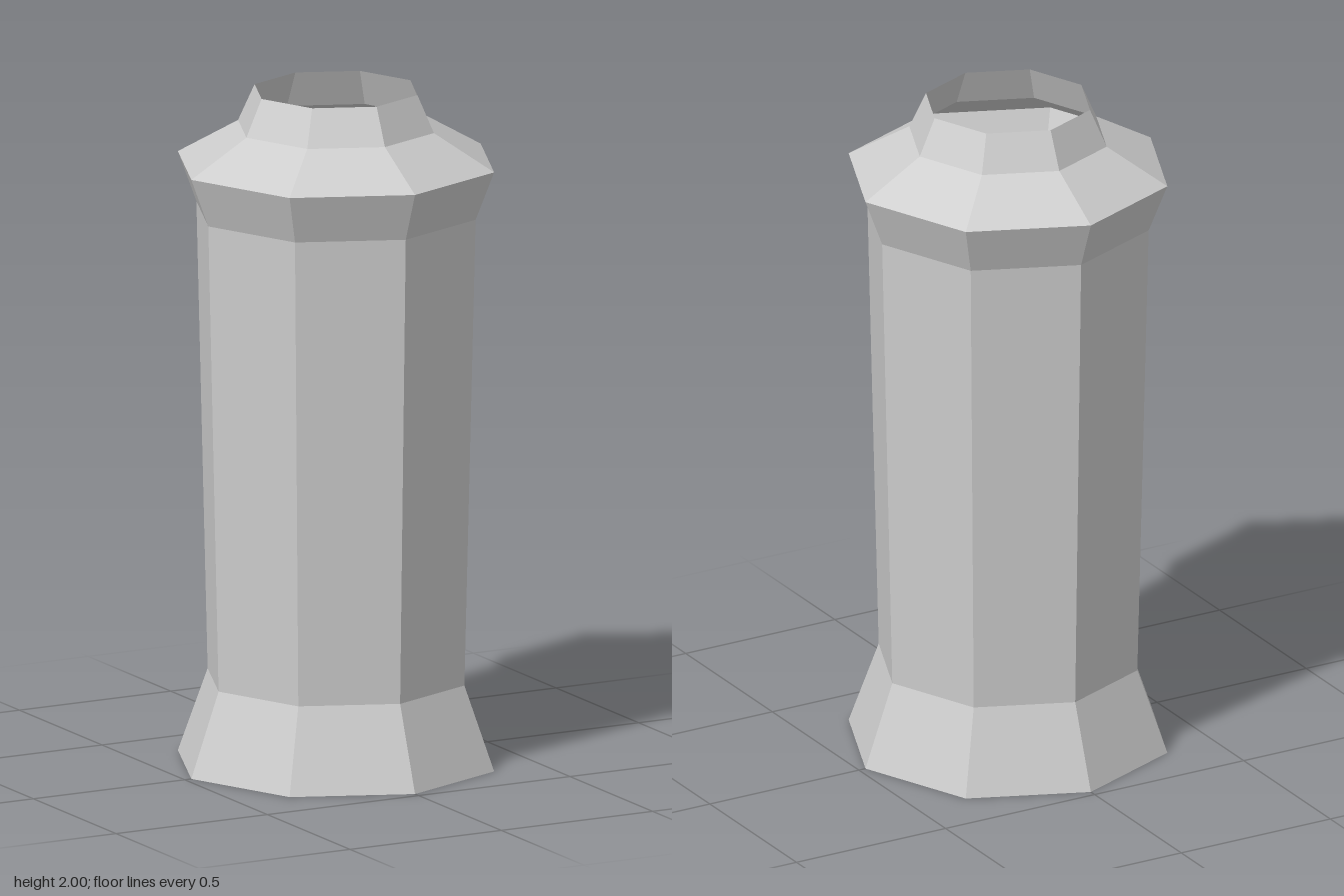
import * as THREE from 'three';

export function createModel() {
  const group = new THREE.Group();
  group.name = 'openColumn';
  // Open thin shell, so both faces show
  const material = new THREE.MeshStandardMaterial({
    color: 0xcccccc, flatShading: true, side: THREE.DoubleSide,
  });

  // Eight-sided ring of wall following [radius, height] points
  const addRing = (name, points) => {
    const profile = points.map(([r, y]) => new THREE.Vector2(r, y));
    const mesh = new THREE.Mesh(new THREE.LatheGeometry(profile, 8), material);
    mesh.name = name;
    group.add(mesh);
  };

  addRing('flaredBase', [[0.478, 0], [0.388, 0.25]]);
  addRing('shaft', [[0.388, 0.25], [0.422, 1.64]]);
  addRing('collar', [[0.422, 1.64], [0.478, 1.785], [0.296, 1.89]]);
  addRing('neck', [[0.296, 1.89], [0.246, 2]]);

  return group;
}
